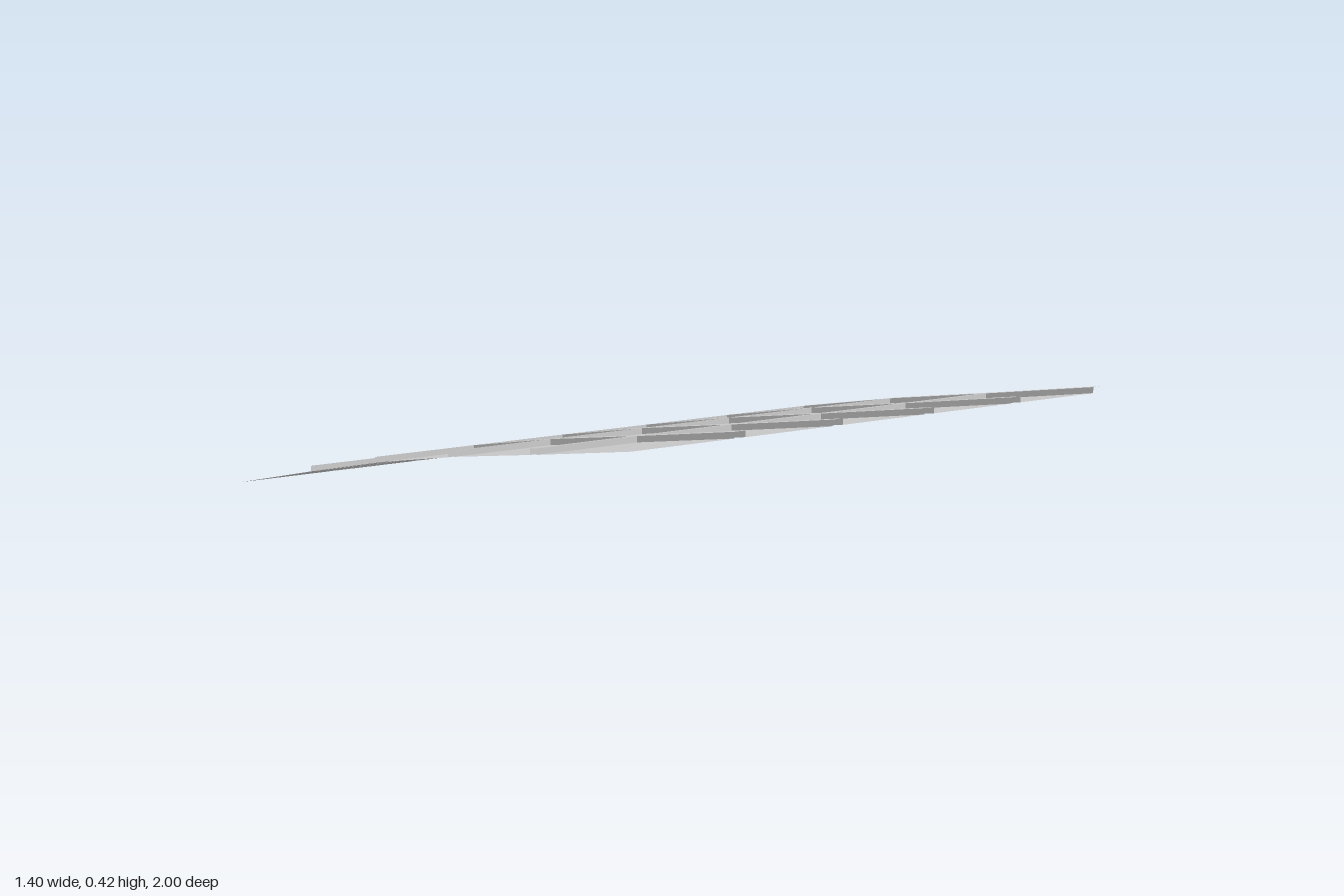
import * as THREE from 'three';

const RISE = 0.015, GAP = 0.03, PITCH = 0.274, HALF = 0.7;

// Breaks along the slope [z, y]: rows lie between even/odd pairs, raised strips between odd/even pairs
const slope = [
  [-1, 0], [-0.545, 0.106], [-0.515, 0.113], [-0.17, 0.19], [-0.14, 0.197],
  [0.21, 0.265], [0.24, 0.271], [0.59, 0.331], [0.62, 0.336], [1, 0.403],
];

// Columns of sunken panels, each followed on +x by a raised rib
const columns = [];
for (let i = 0; i < 5; i++) {
  const end = HALF - PITCH * (4 - i);
  columns.push({ x0: i === 0 ? -HALF : end - PITCH, x1: end - GAP, ribEnd: end });
}

const material = new THREE.MeshStandardMaterial({ color: 0xcccccc, side: THREE.DoubleSide, flatShading: true });

// Collects four-cornered faces into one mesh
function sheet(name, quads) {
  const points = [];
  for (const [a, b, c, d] of quads) points.push(...a, ...b, ...c, ...a, ...c, ...d);
  const geometry = new THREE.BufferGeometry();
  geometry.setAttribute('position', new THREE.Float32BufferAttribute(points, 3));
  geometry.computeVertexNormals();
  const mesh = new THREE.Mesh(geometry, material);
  mesh.name = name;
  return mesh;
}

// Upward face between two slope breaks, lifted by h
const patch = (x0, x1, [z0, y0], [z1, y1], h) => [
  [x0, y0 + h, z0], [x0, y1 + h, z1], [x1, y1 + h, z1], [x1, y0 + h, z0],
];

// Upright step from the panel level to the raised level
const step = (a, b) => [a, b, [b[0], b[1] + RISE, b[2]], [a[0], a[1] + RISE, a[2]]];

export function createModel() {
  const group = new THREE.Group();
  group.name = 'roofSheet';
  const panels = [], ribs = [], strips = [], steps = [];

  columns.forEach(({ x0, x1, ribEnd }, col) => {
    for (let i = 0; i < slope.length - 1; i++) {
      const p = slope[i], q = slope[i + 1];
      ribs.push(patch(x1, ribEnd, p, q, RISE));
      if (i % 2) {
        strips.push(patch(x0, x1, p, q, RISE));
        continue;
      }
      panels.push(patch(x0, x1, p, q, 0));
      // Steps around the panel, facing into it; outer edges of the sheet stay open
      const bl = [x0, p[1], p[0]], br = [x1, p[1], p[0]];
      const fl = [x0, q[1], q[0]], fr = [x1, q[1], q[0]];
      steps.push(step(br, fr));
      if (col > 0) steps.push(step(fl, bl));
      if (i > 0) steps.push(step(bl, br));
      if (i < slope.length - 2) steps.push(step(fr, fl));
    }
  });

  group.add(sheet('panels', panels), sheet('ribs', ribs), sheet('crossStrips', strips), sheet('panelSteps', steps));
  return group;
}
